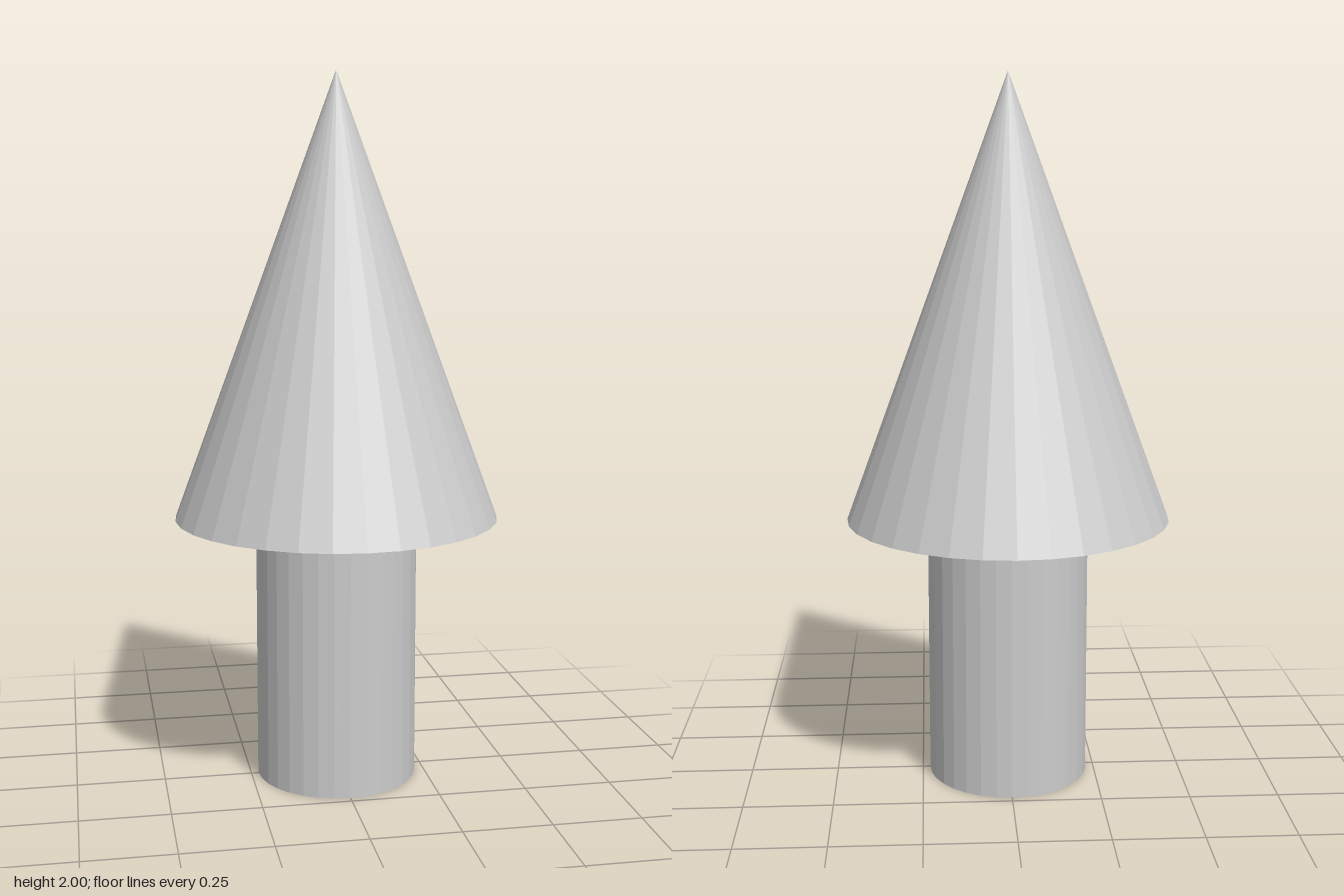
import * as THREE from 'three';

const SIDES = 32;
const BASE_Y = 0.757; // where the cone meets the trunk

export function createModel() {
  const group = new THREE.Group();
  const material = new THREE.MeshStandardMaterial({ color: 0xcccccc, flatShading: true });

  // Adds a part standing on the given height
  const addPart = (name, geometry, bottom, height) => {
    const mesh = new THREE.Mesh(geometry, material);
    mesh.name = name;
    mesh.position.y = bottom + height / 2;
    group.add(mesh);
  };

  // Straight cylindrical trunk
  addPart('trunk', new THREE.CylinderGeometry(0.229, 0.229, BASE_Y, SIDES), 0, BASE_Y);

  // Pointed conical crown with a flat underside
  const crownHeight = 2 - BASE_Y;
  addPart('crown', new THREE.ConeGeometry(0.458, crownHeight, SIDES), BASE_Y, crownHeight);

  return group;
}
